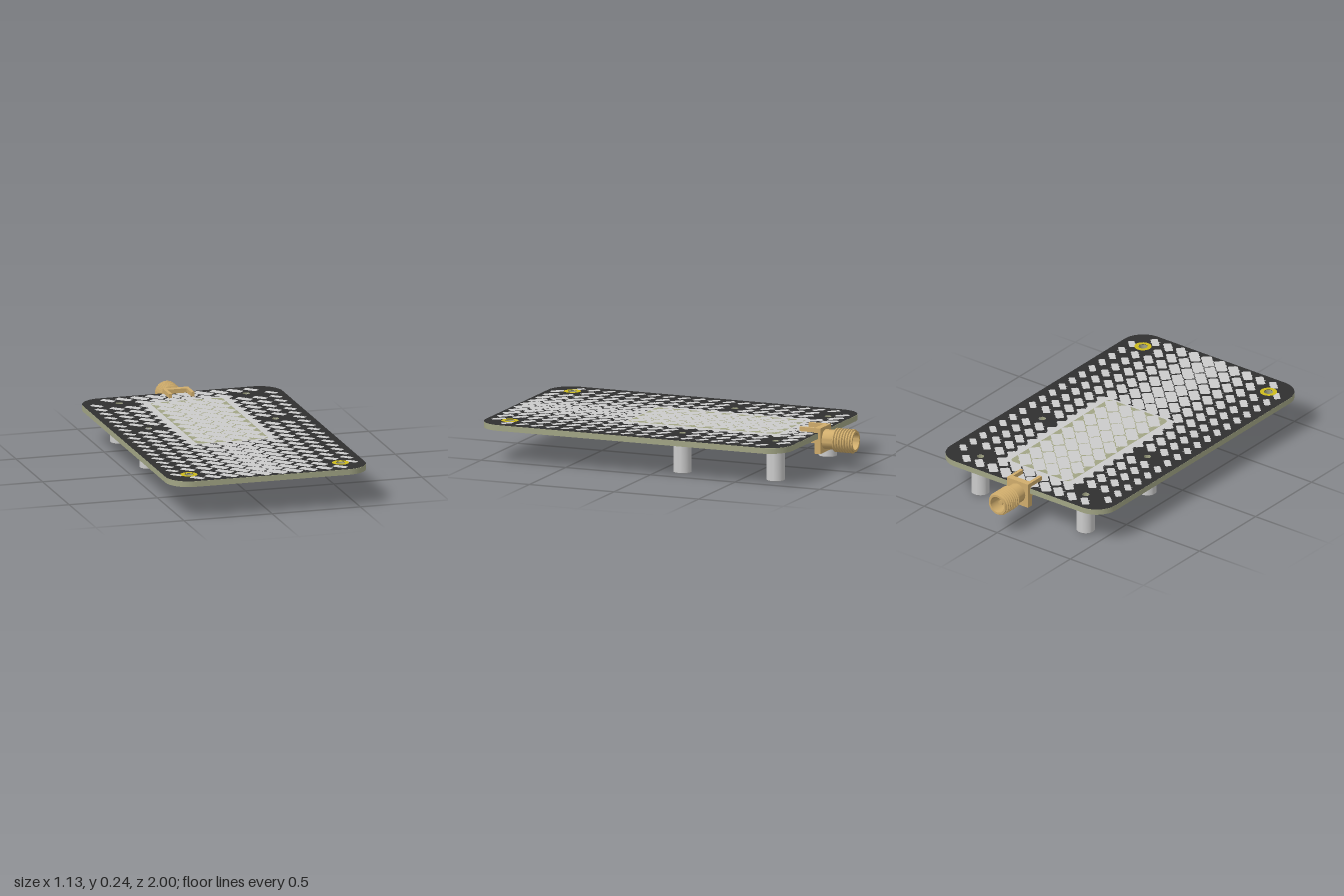
import * as THREE from 'three';
import { toCreasedNormals } from 'three/addons/utils/BufferGeometryUtils.js';

const mat = (color, side = THREE.FrontSide) => new THREE.MeshStandardMaterial({ color, side });
const SILVER = mat(0xcccccc), DARK = mat(0x303030), OLIVE = mat(0xa2a585);
const WINDOW = mat(0x74775e), TRACE = mat(0x5a5a5a), YELLOW = mat(0xcdbb1c), BRASS = mat(0xd0ad6c), GREY = mat(0xcccccc);

const BOTTOM = 0.184, TOP = 0.217;
const standoffs = [[0.36, -0.13], [-0.36, -0.13], [0.36, -0.68], [-0.36, -0.68]];
const mounts = [[0.43, 0.86], [-0.43, 0.86]];

// Shapes are drawn in plan with v = -z
const circle = (Type, x, z, r) => new Type().absarc(x, -z, r, 0, Math.PI * 2);

function ring(x, z, outer, inner) {
  const s = circle(THREE.Shape, x, z, outer);
  s.holes.push(circle(THREE.Path, x, z, inner));
  return s;
}

function roundRect(x0, x1, z0, z1, r) {
  const s = new THREE.Shape();
  s.absarc(x1 - r, -z0 - r, r, 0, Math.PI / 2);
  s.absarc(x0 + r, -z0 - r, r, Math.PI / 2, Math.PI);
  s.absarc(x0 + r, -z1 + r, r, Math.PI, Math.PI * 1.5);
  s.absarc(x1 - r, -z1 + r, r, Math.PI * 1.5, Math.PI * 2);
  s.closePath();
  return s;
}

// Board outline with a notch for the connector and all drill holes
function boardShape() {
  const s = new THREE.Shape(), x = 0.565, r = 0.13, t = 0.81, b = -1;
  s.absarc(x - r, t - r, r, 0, Math.PI / 2);
  s.lineTo(0.08, t); s.lineTo(0.08, 0.785); s.lineTo(-0.08, 0.785); s.lineTo(-0.08, t);
  s.absarc(-x + r, t - r, r, Math.PI / 2, Math.PI);
  s.absarc(-x + r, b + r, r, Math.PI, Math.PI * 1.5);
  s.absarc(x - r, b + r, r, Math.PI * 1.5, Math.PI * 2);
  s.closePath();
  standoffs.forEach(([px, pz]) => s.holes.push(circle(THREE.Path, px, pz, 0.02)));
  mounts.forEach(([px, pz]) => s.holes.push(circle(THREE.Path, px, pz, 0.025)));
  return s;
}

// Square tile whose four edges are S-curves, shrunk about its centre
function waveTile(cx, cz, px, pz, scale) {
  const pts = [], n = 10, amp = 0.2;
  const wave = t => amp * Math.sin(t * Math.PI * 2);
  const edges = [t => [t, wave(t)], t => [1 + wave(t), t], t => [1 - t, 1 + wave(1 - t)], t => [wave(1 - t), 1 - t]];
  edges.forEach(e => {
    for (let k = 0; k < n; k++) {
      const [u, v] = e(k / n);
      pts.push(new THREE.Vector2(cx + (u - 0.5) * px * scale, -cz + (v - 0.5) * pz * scale));
    }
  });
  return new THREE.Shape(pts);
}

// Thin strip along a polyline of [x, z] points
function strips(points, w) {
  return points.slice(1).map(([bx, bz], i) => {
    const a = new THREE.Vector2(points[i][0], -points[i][1]), b = new THREE.Vector2(bx, -bz);
    const d = b.clone().sub(a).normalize().multiplyScalar(w / 2);
    const n = new THREE.Vector2(-d.y, d.x);
    a.sub(d); b.add(d);
    return new THREE.Shape([a.clone().sub(n), b.clone().sub(n), b.clone().add(n), a.clone().add(n)]);
  });
}

export function createModel() {
  const root = new THREE.Group();
  const add = (geo, material, name, x = 0, y = 0, z = 0, parent = root) => {
    const m = new THREE.Mesh(geo, material);
    m.name = name;
    m.position.set(x, y, z);
    parent.add(m);
    return m;
  };
  const layer = (shapes, y, material, name, down = false) => {
    const g = new THREE.ShapeGeometry(shapes, 16).rotateX(-Math.PI / 2);
    if (down) {
      g.setIndex(Array.from(g.index.array).reverse());
      g.computeVertexNormals();
    }
    return add(g, material, name, 0, y, 0);
  };

  // Board core and its dark coatings
  const core = new THREE.ExtrudeGeometry(boardShape(), { depth: TOP - BOTTOM - 0.002, bevelEnabled: false, curveSegments: 16 });
  add(toCreasedNormals(core.rotateX(-Math.PI / 2), 0.5), OLIVE, 'boardCore', 0, BOTTOM + 0.001, 0);
  layer(boardShape(), TOP, DARK, 'topCoating');
  layer(boardShape(), BOTTOM, DARK, 'bottomCoating', true);

  // Wavy metal tiles, shrinking toward the long edges
  const px = 0.09, pz = 0.0885, tiles = [];
  for (let i = -6; i < 6; i++) for (let j = 0; j < 20; j++) {
    const x = (i + 0.5) * px, z = -0.79 + (j + 0.5) * pz;
    const blocked = [...standoffs, ...mounts].some(([hx, hz]) => Math.hypot(hx - x, hz - z) < 0.06);
    const underPatch = Math.abs(x) < 0.2 && z > -0.6 && z < 0.24;
    const inCorner = Math.abs(x) > 0.45 && (z < -0.72 || z > 0.9);
    if (!blocked && !underPatch && !inCorner) tiles.push(waveTile(x, z, px, pz, 0.97 - 0.42 * Math.min(1, Math.abs(x) / 0.5)));
  }
  layer(tiles, TOP + 0.001, SILVER, 'waveTiles');

  // Central patch with thin wavy gaps
  layer(roundRect(-0.24, 0.24, -0.64, 0.28, 0.015), TOP + 0.002, SILVER, 'patchPlate');
  layer(roundRect(-0.205, 0.205, -0.625, 0.265, 0.03), TOP + 0.003, OLIVE, 'patchGaps');
  const patch = [];
  for (let i = -2; i < 2; i++) for (let j = 0; j < 9; j++) {
    const x = (i + 0.5) * 0.095;
    patch.push(waveTile(x, -0.615 + (j + 0.5) * 0.0967, 0.095, 0.0967, Math.abs(x) > 0.1 ? 0.92 : 0.95));
  }
  layer(patch, TOP + 0.004, SILVER, 'patchTiles');

  // Plated rings round the mounting holes
  const rings = mounts.map(([x, z]) => ring(x, z, 0.047, 0.025));
  layer(rings, TOP + 0.002, YELLOW, 'topMountRings');
  layer(rings, BOTTOM - 0.002, YELLOW, 'bottomMountRings', true);
  layer(standoffs.map(([x, z]) => ring(x, z, 0.06, 0.045)), BOTTOM - 0.002, YELLOW, 'standoffPads', true);

  // Underside window, outline traces and small pads
  layer(roundRect(-0.235, 0.235, -0.64, 0.285, 0.05), BOTTOM - 0.001, TRACE, 'windowBorder', true);
  layer(roundRect(-0.225, 0.225, -0.63, 0.275, 0.045), BOTTOM - 0.002, WINDOW, 'bottomWindow', true);
  const traces = [];
  [1, -1].forEach(s => {
    traces.push(...strips([[0.2, 0.98], [0.2, 0.44], [0.17, 0.4], [0, 0.4]].map(([x, z]) => [x * s, z]), 0.006));
    traces.push(...strips([[0.2, 0.7], [0.46, 0.7], [0.5, 0.66], [0.5, 0.08], [0.46, 0.04], [0.32, 0.04], [0.28, 0],
      [0.28, -0.25], [0.32, -0.29], [0.52, -0.29]].map(([x, z]) => [x * s, z]), 0.006));
  });
  layer(traces, BOTTOM - 0.001, TRACE, 'bottomTraces', true);
  const pads = [[0, 0.028], [0.028, 0], [0, -0.028], [-0.028, 0]].map(([dx, dz]) =>
    roundRect(-0.32 + dx - 0.01, -0.32 + dx + 0.01, -0.42 + dz - 0.01, -0.42 + dz + 0.01, 0.002));
  layer(pads, BOTTOM - 0.001, YELLOW, 'bottomPads', true);

  // Hollow standoffs
  standoffs.forEach(([x, z]) => {
    const p = [[0.02, TOP - 0.001], [0.02, 0], [0.046, 0], [0.05, 0.004], [0.05, BOTTOM - 0.001]];
    const g = new THREE.LatheGeometry(p.map(a => new THREE.Vector2(...a)), 32);
    add(toCreasedNormals(g, 0.5), GREY, 'standoff', x, 0, z);
  });

  // Edge connector: flange, prongs, threaded barrel and pins
  const connector = new THREE.Group();
  connector.name = 'connector';
  root.add(connector);
  const axis = 0.171;
  add(new THREE.BoxGeometry(0.145, 0.142, 0.035), BRASS, 'flange', 0, axis, -0.803, connector);
  [1, -1].forEach(s => [0.23, 0.171].forEach(y =>
    add(new THREE.BoxGeometry(0.018, 0.024, 0.09), BRASS, 'prong', s * 0.0635, y, -0.742, connector)));
  const profile = [[0.054, 0.82], [0.054, 0.88]];
  for (let k = 0; k < 7; k++) {
    const y = 0.88 + k * 0.016;
    profile.push([0.058, y + 0.001], [0.066, y + 0.005], [0.066, y + 0.011], [0.058, y + 0.015]);
  }
  profile.push([0.058, 1], [0.046, 1], [0.046, 0.9], [0, 0.9]);
  const barrel = new THREE.LatheGeometry(profile.map(a => new THREE.Vector2(...a)), 40).rotateX(-Math.PI / 2);
  add(toCreasedNormals(barrel, 0.5), BRASS, 'threadedBarrel', 0, axis, 0, connector);
  const pin = (r, len, z, name) =>
    add(new THREE.CylinderGeometry(r, r, len, 20).rotateX(Math.PI / 2), BRASS, name, 0, axis, z, connector);
  pin(0.014, 0.07, -0.755, 'boardPin');
  pin(0.014, 0.07, -0.935, 'centrePin');
  return root;
}
